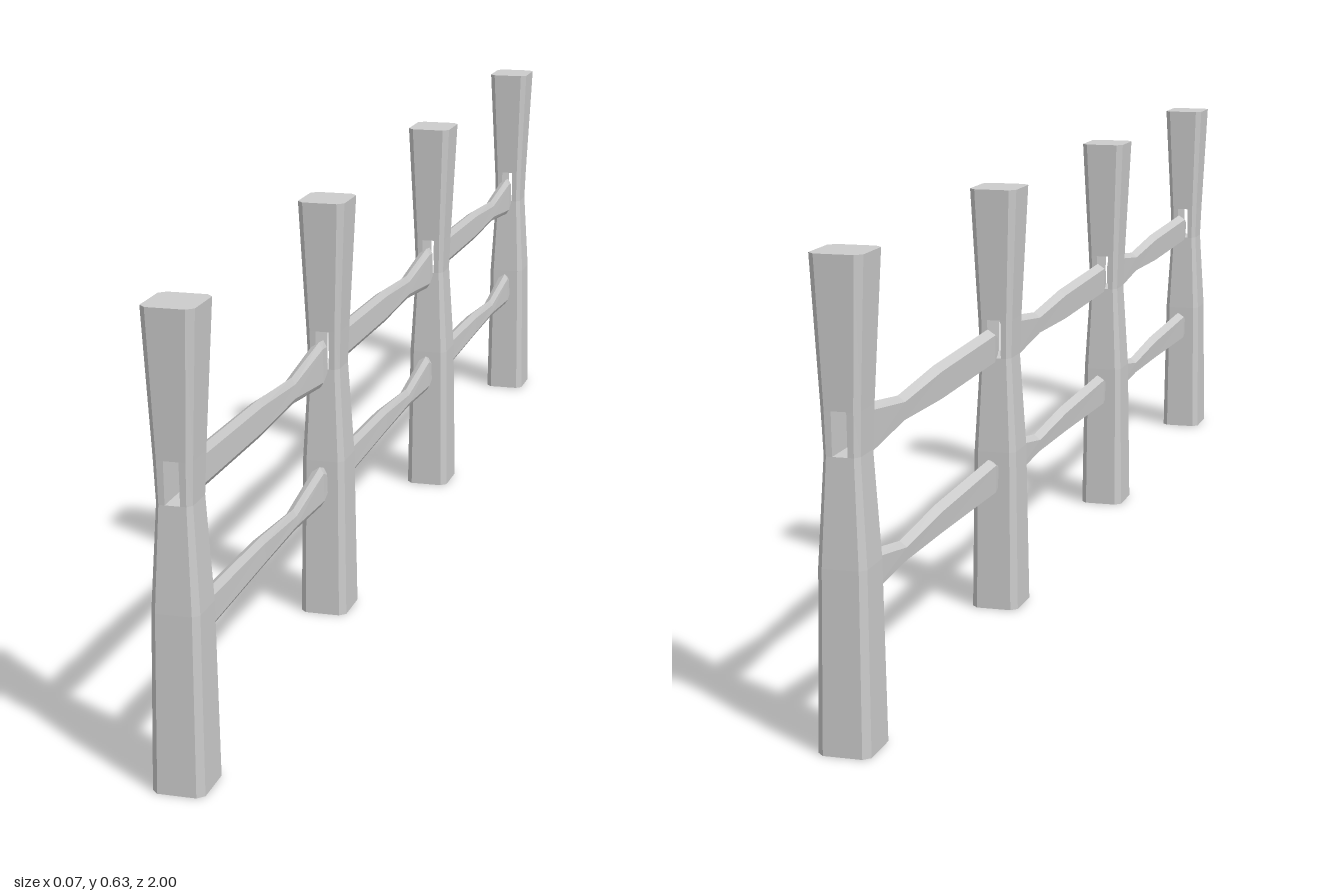
import * as THREE from 'three';

const material = new THREE.MeshStandardMaterial({ color: 0xcccccc, flatShading: true });

// Skins a list of equal-length rings, with end caps; skip(i, j) leaves a panel open.
function loft(rings, skip = () => false, extraQuads = []) {
  const pos = [];
  const quad = (a, b, c, d) => pos.push(...a, ...b, ...c, ...a, ...c, ...d);
  const n = rings[0].length, last = rings[rings.length - 1];
  for (let i = 0; i < rings.length - 1; i++) {
    for (let j = 0; j < n; j++) {
      if (skip(i, j)) continue;
      const k = (j + 1) % n;
      quad(rings[i][j], rings[i + 1][j], rings[i + 1][k], rings[i][k]);
    }
  }
  for (let j = 1; j < n - 1; j++) {
    pos.push(...rings[0][0], ...rings[0][j], ...rings[0][j + 1]);
    pos.push(...last[0], ...last[j + 1], ...last[j]);
  }
  extraQuads.forEach((q) => quad(...q));
  const geometry = new THREE.BufferGeometry();
  geometry.setAttribute('position', new THREE.Float32BufferAttribute(pos, 3));
  geometry.computeVertexNormals();
  return geometry;
}

// Waisted, chamfered post with a rectangular slot cut through from front to back.
function postGeometry() {
  const s = 0.01; // half width of the slot
  // y, half width, half depth, chamfer in x, chamfer in z
  const levels = [
    [0.63, 0.035, 0.04, 0.009, 0.009],
    [0.437, 0.026, 0.032, 0.007, 0.008],
    [0.38, 0.024, 0.03, 0.006, 0.008],
    [0.24, 0.032, 0.036, 0.008, 0.009],
    [0, 0.035, 0.04, 0.009, 0.009],
  ];
  const rings = levels.map(([y, hx, hz, cx, cz]) => {
    const fx = hx - cx, fz = hz - cz;
    return [
      [s, y, hz], [fx, y, hz], [hx, y, fz], [hx, y, -fz], [fx, y, -hz], [s, y, -hz],
      [-s, y, -hz], [-fx, y, -hz], [-hx, y, -fz], [-hx, y, fz], [-fx, y, hz], [-s, y, hz],
    ];
  });
  const t = rings[1], b = rings[2];
  const slotWalls = [
    [t[11], t[6], t[5], t[0]],
    [b[11], b[0], b[5], b[6]],
    [t[11], b[11], b[6], t[6]],
    [t[0], t[5], b[5], b[0]],
  ];
  return loft(rings, (i, j) => i === 1 && (j === 11 || j === 5), slotWalls);
}

// Thin hewn rail running along z; stations are [z, bottom, top, width scale].
function railGeometry(stations) {
  return loft(stations.map(([z, b, t, w]) => [
    [-0.008 * w, b + 0.006, z], [0.005 * w, b, z], [0.01 * w, b + 0.008, z],
    [0.009 * w, t - 0.01, z], [0.003 * w, t, z], [-0.009 * w, t - 0.008, z],
  ]));
}

export function createModel() {
  const group = new THREE.Group();
  const add = (name, geometry, z) => {
    const mesh = new THREE.Mesh(geometry, material);
    mesh.name = name;
    mesh.position.z = z;
    group.add(mesh);
  };

  const post = postGeometry();
  const upper = railGeometry([
    [0.287, 0.381, 0.418, 0.8], [0.268, 0.373, 0.427, 1], [0.02, 0.37, 0.422, 1],
    [-0.13, 0.373, 0.411, 0.85], [-0.262, 0.36, 0.428, 1], [-0.287, 0.368, 0.425, 0.85],
  ]);
  const lower = railGeometry([
    [0.289, 0.182, 0.224, 0.8], [0.268, 0.177, 0.232, 1], [0.02, 0.183, 0.227, 1],
    [-0.13, 0.184, 0.216, 0.85], [-0.262, 0.178, 0.238, 1], [-0.289, 0.185, 0.228, 0.85],
  ]);

  const pitch = 0.64;
  for (let i = 0; i < 4; i++) add('post', post, (1.5 - i) * pitch);
  for (let i = 0; i < 3; i++) {
    add('upperRail', upper, (1 - i) * pitch);
    add('lowerRail', lower, (1 - i) * pitch);
  }
  return group;
}
